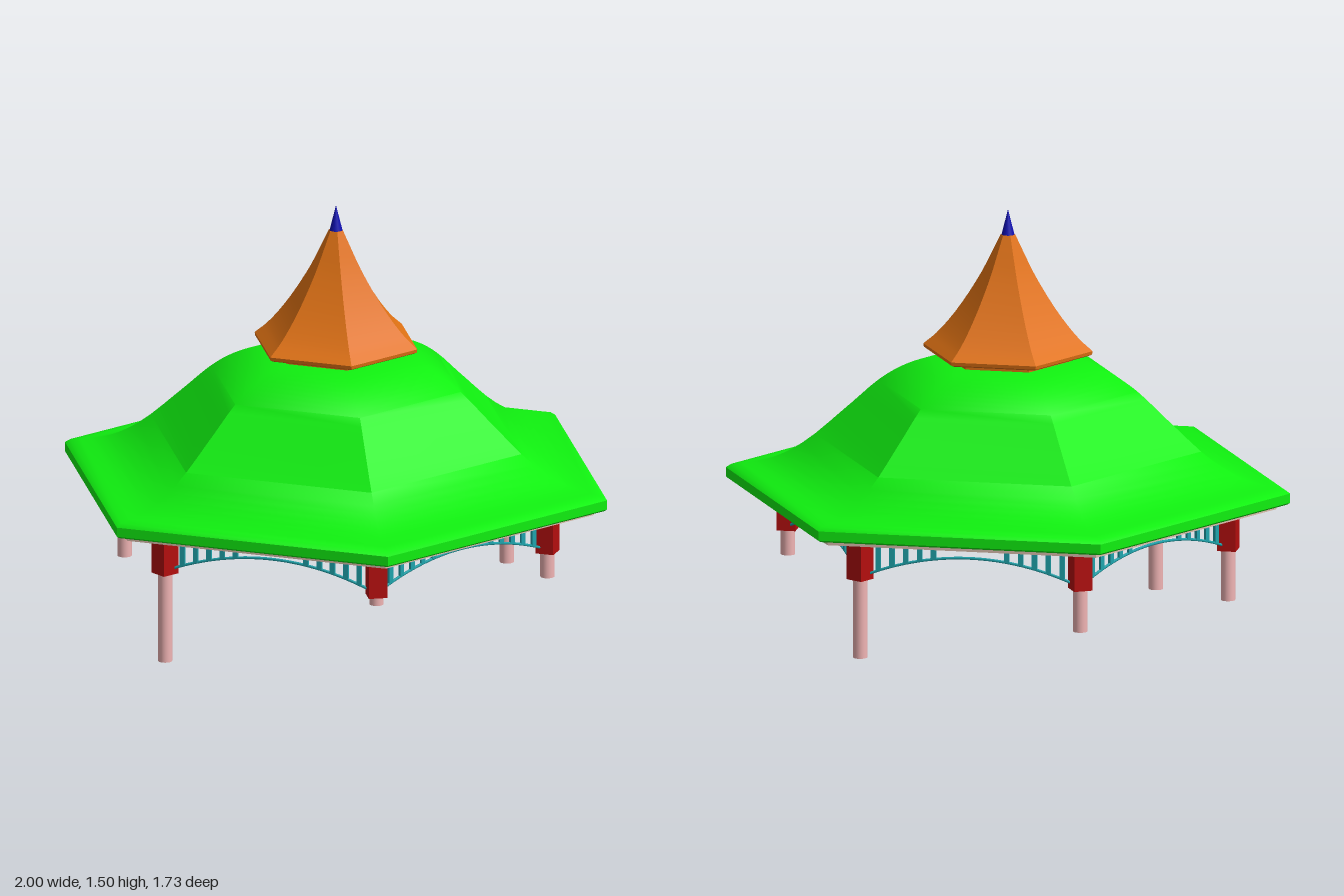
import * as THREE from 'three';
import { toCreasedNormals } from 'three/addons/utils/BufferGeometryUtils.js';

const mat = (color) => new THREE.MeshStandardMaterial({ color });
const GREEN = mat(0x10f010), ORANGE = mat(0xe07214), BLUE = mat(0x1010b0), RED = mat(0xb40e0e);
const TEAL = mat(0x1fa5ad), PINK = mat(0xf0b4b4), BEIGE = mat(0xdcbfae);

function add(parent, name, geometry, material, x = 0, y = 0, z = 0) {
  const mesh = new THREE.Mesh(geometry, material);
  mesh.name = name;
  mesh.position.set(x, y, z);
  parent.add(mesh);
  return mesh;
}

// Six-sided solid from a [corner radius, y] profile listed from bottom to top, corners on the x axis
function hexLathe(profile, crease) {
  const points = profile.map(([r, y]) => new THREE.Vector2(r, y));
  return toCreasedNormals(new THREE.LatheGeometry(points, 6, Math.PI / 2), crease);
}

// Smooth run through a few profile points
function smooth(points, n) {
  const curve = new THREE.CatmullRomCurve3(points.map(([x, y]) => new THREE.Vector3(x, y, 0)));
  return curve.getPoints(n).map((p) => [p.x, p.y]);
}

export function createModel() {
  const model = new THREE.Group();
  model.name = 'pavilion';

  // Bell-shaped main roof with a thick eave
  const bell = smooth([[0.98, 0.543], [0.85, 0.568], [0.73, 0.63], [0.57, 0.768], [0.46, 0.868],
    [0.39, 0.915], [0.31, 0.95], [0.22, 0.968], [0.15, 0.972]], 28);
  add(model, 'mainRoof', hexLathe([[0, 0.49], [0.99, 0.49], [1, 0.497], [1, 0.53], ...bell, [0, 0.972]], 0.7), GREEN);

  // Ceiling slab under the roof
  add(model, 'ceiling', hexLathe([[0, 0.472], [0.952, 0.472], [0.952, 0.491], [0, 0.491]], 0.5), BEIGE);

  // Upper spire on a short neck, with a pointed finial
  add(model, 'spireNeck', hexLathe([[0, 0.965], [0.225, 0.965], [0.225, 0.995], [0, 0.995]], 0.5), ORANGE);
  const spire = smooth([[0.3, 1.006], [0.25, 1.05], [0.18, 1.135], [0.098, 1.264], [0.05, 1.36], [0.026, 1.41]], 16);
  add(model, 'spireRoof', hexLathe([[0, 0.988], [0.285, 0.988], [0.298, 0.994], ...spire, [0, 1.41]], 0.6), ORANGE);
  add(model, 'finial', new THREE.ConeGeometry(0.025, 0.1, 20), BLUE, 0, 1.45, 0);

  // Foot heights of the columns, which step down a slope; counted from +x towards +z
  const feet = [0.04, 0.23, 0.29, 0, 0.14, 0.17];
  const top = 0.475, ring = 0.78;

  // Arched lower rail shared by all six sides
  const archY = (x) => 0.412 - 0.55 * x * x;
  const archPoints = [];
  for (let i = 0; i <= 16; i++) {
    const x = -0.36 + 0.045 * i;
    archPoints.push(new THREE.Vector3(x, archY(x), 0));
  }
  const arch = new THREE.TubeGeometry(new THREE.CatmullRomCurve3(archPoints), 32, 0.005, 6);

  feet.forEach((foot, i) => {
    const a = (i * Math.PI) / 3;

    // Column with its square bracket block
    const post = new THREE.Group();
    post.name = 'post';
    post.position.set(ring * Math.cos(a), 0, ring * Math.sin(a));
    post.rotation.y = -a;
    add(post, 'column', new THREE.CylinderGeometry(0.025, 0.025, top - foot, 20), PINK, 0, (top + foot) / 2, 0);
    add(post, 'postBlock', new THREE.BoxGeometry(0.066, 0.155, 0.066), RED, 0, 0.3975, 0);
    model.add(post);

    // Arched fretwork with upright bars towards the posts
    const b = a + Math.PI / 6, r = ring * Math.cos(Math.PI / 6);
    const fret = new THREE.Group();
    fret.name = 'fretwork';
    fret.position.set(r * Math.cos(b), 0, r * Math.sin(b));
    fret.rotation.y = Math.PI / 2 - b;
    add(fret, 'archRail', arch, TEAL);
    for (const side of [-1, 1]) {
      for (let k = 0; k < 5; k++) {
        const x = side * (0.13 + 0.049 * k), h = top - archY(x);
        add(fret, 'bar', new THREE.BoxGeometry(0.018, h, 0.01), TEAL, x, top - h / 2, 0);
      }
    }
    model.add(fret);
  });

  return model;
}
